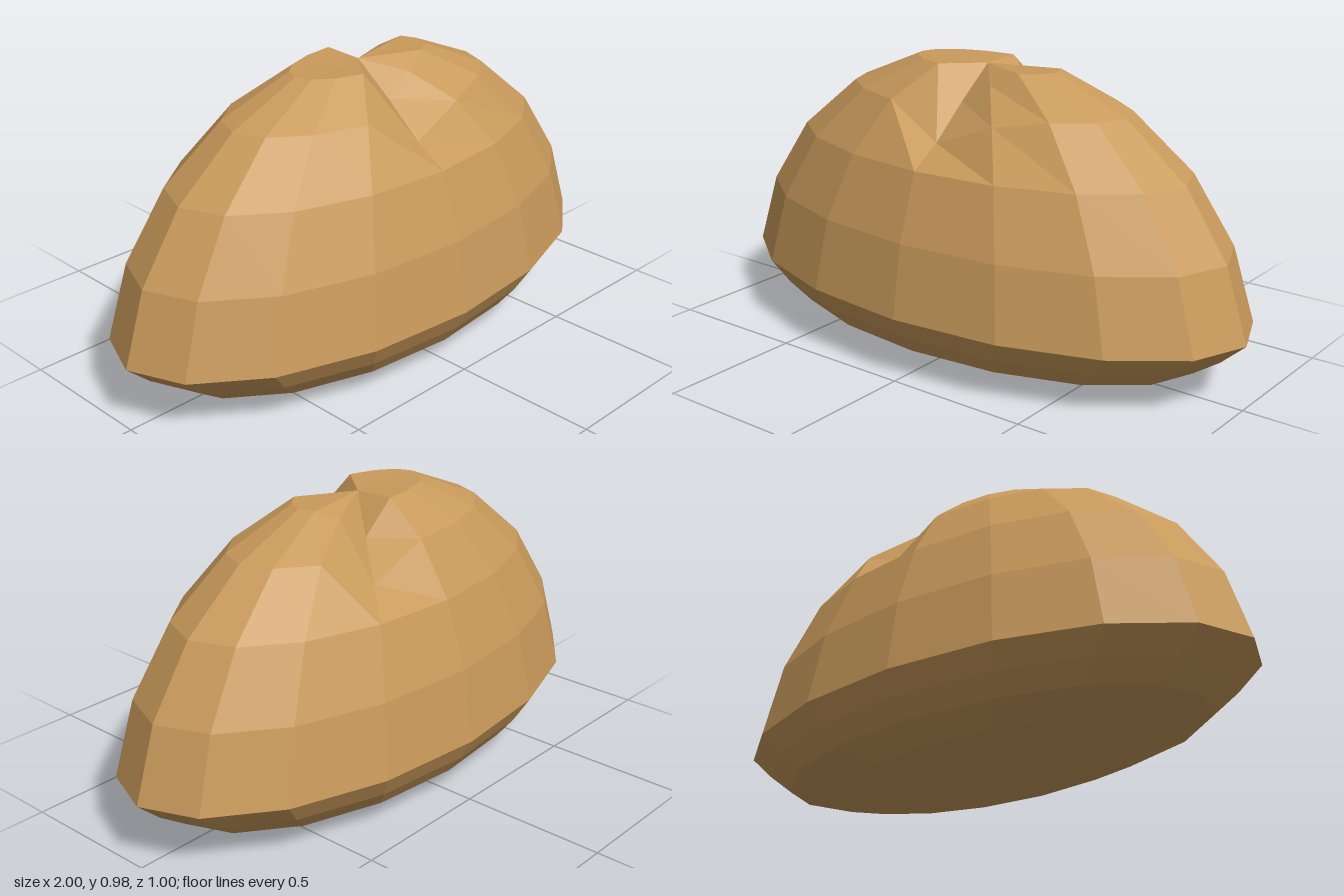
import * as THREE from 'three';

// [radius along x, height] of every ring, from the top pole to the bottom pole
const RINGS = [
  [0, 0.972], [0.28, 0.977], [0.545, 0.865], [0.767, 0.686], [0.92, 0.462],
  [1, 0.216], [0.915, 0.14], [0.82, 0.076], [0.617, 0.021], [0.34, 0.003], [0, 0],
];
const SEGMENTS = 16;

// Creases in the crown: ring, angle in degrees (0 = +x, 90 = +z), depth
const DENTS = [
  [1, 90, 0.11], [2, 90, 0.11], [1, 67.5, 0.045], [2, 67.5, 0.03],
  [1, 292.5, 0.11], [2, 292.5, 0.1], [1, 315, 0.03],
];

export function createModel() {
  const group = new THREE.Group();
  group.name = 'bun';

  // Oval dome on a shallow rounded base, shaped ring by ring
  const geometry = new THREE.SphereGeometry(1, SEGMENTS, RINGS.length - 1);
  const position = geometry.attributes.position;
  for (let i = 0; i < position.count; i++) {
    const ring = Math.floor(i / (SEGMENTS + 1));
    const column = i % (SEGMENTS + 1);
    const degrees = (540 - (column * 360) / SEGMENTS) % 360;
    const angle = THREE.MathUtils.degToRad(degrees);
    const [radius, height] = RINGS[ring];
    const dent = DENTS.find(([r, a]) => r === ring && a === degrees);
    position.setXYZ(
      i,
      radius * Math.cos(angle),
      height - (dent ? dent[2] : 0),
      radius * 0.5 * Math.sin(angle),
    );
  }

  const faceted = geometry.toNonIndexed();
  faceted.computeVertexNormals();
  const body = new THREE.Mesh(
    faceted,
    new THREE.MeshStandardMaterial({ color: 0xc99a5b, flatShading: true }),
  );
  body.name = 'creasedBody';
  group.add(body);
  return group;
}
